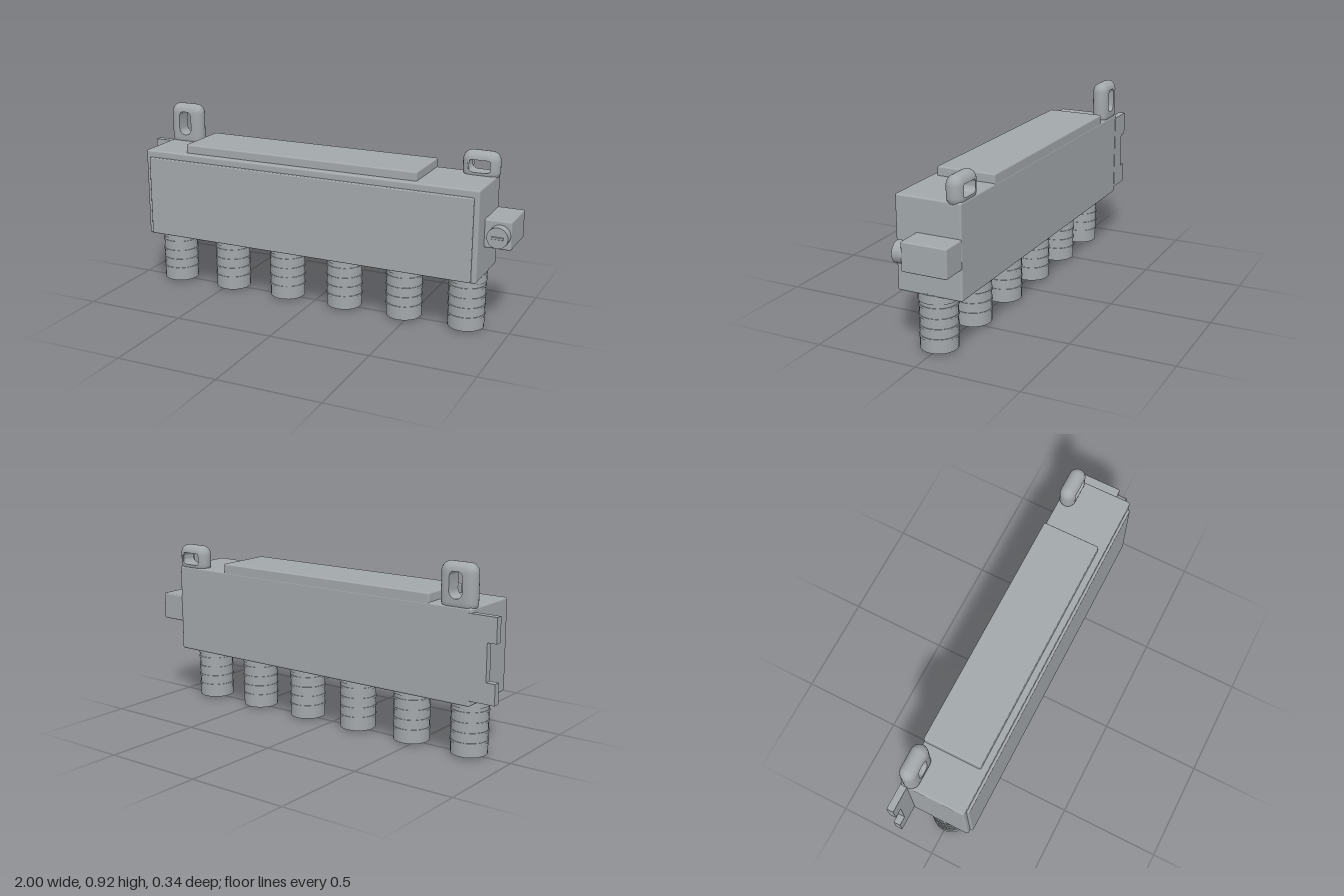
import * as THREE from 'three';
import { toCreasedNormals } from 'three/addons/utils/BufferGeometryUtils.js';
import { RoundedBoxGeometry } from 'three/addons/geometries/RoundedBoxGeometry.js';

const grey = new THREE.MeshStandardMaterial({ color: 0xa3a8ab });
grey.name = 'metalGrey';

function add(parent, name, geometry, x = 0, y = 0, z = 0) {
  const mesh = new THREE.Mesh(geometry, grey);
  mesh.name = name;
  mesh.position.set(x, y, z);
  parent.add(mesh);
  return mesh;
}

// Softly rounded box given by its limits on each axis
function addBox(parent, name, [x0, x1], [y0, y1], [z0, z1], radius) {
  const geometry = new RoundedBoxGeometry(x1 - x0, y1 - y0, z1 - z0, 2, radius);
  return add(parent, name, geometry, (x0 + x1) / 2, (y0 + y1) / 2, (z0 + z1) / 2);
}

// Counter-clockwise rounded rectangle, always with the same number of points
function roundedLoop(w, h, r, z) {
  const points = [], steps = 8;
  [[1, 1], [-1, 1], [-1, -1], [1, -1]].forEach(([sx, sy], corner) => {
    for (let i = 0; i <= steps; i++) {
      const a = (corner + i / steps) * Math.PI / 2;
      points.push([sx * (w / 2 - r) + r * Math.cos(a), sy * (h / 2 - r) + r * Math.sin(a), z]);
    }
  });
  return points;
}

// Mounting lug: half-round outer rim, flat faces and a straight slot
function lugGeometry(w, h, slotW, slotH, slotY) {
  const R = 0.04, rings = [];
  for (let i = 0; i <= 10; i++) {
    const a = Math.PI / 2 - i * Math.PI / 10;
    const inset = R * (1 - Math.cos(a));
    rings.push(roundedLoop(w - 2 * inset, h - 2 * inset, 0.045 - inset, R * Math.sin(a)));
  }
  for (const z of [-R, R]) {
    rings.push(roundedLoop(slotW, slotH, Math.min(slotW, slotH) / 2 - 0.001, z)
      .map(([x, y, d]) => [x, y + slotY, d]));
  }
  const n = rings[0].length, index = [];
  for (let r = 0; r < rings.length; r++) {
    const s = (r + 1) % rings.length;
    for (let i = 0; i < n; i++) {
      const j = (i + 1) % n;
      const a = r * n + i, b = r * n + j, c = s * n + i, d = s * n + j;
      index.push(a, c, b, b, c, d);
    }
  }
  const geometry = new THREE.BufferGeometry();
  geometry.setAttribute('position', new THREE.Float32BufferAttribute(rings.flat(2), 3));
  geometry.setIndex(index);
  return toCreasedNormals(geometry, 0.7);
}

// Ribbed plug hanging below the housing
function createPlug(x) {
  const plug = new THREE.Group();
  plug.name = 'plug';
  plug.position.x = x;
  add(plug, 'plugBarrel', new THREE.CylinderGeometry(0.087, 0.087, 0.28, 24), 0, 0.15);
  add(plug, 'plugCollar', new THREE.CylinderGeometry(0.092, 0.092, 0.042, 24), 0, 0.264);
  for (const y of [0.22, 0.17, 0.122, 0.074]) {
    add(plug, 'plugRib', new THREE.CylinderGeometry(0.091, 0.091, 0.01, 16), 0, y);
  }
  add(plug, 'plugEndDisc', new THREE.CylinderGeometry(0.03, 0.03, 0.006, 20), 0, 0.01);
  add(plug, 'plugPin', new THREE.CylinderGeometry(0.01, 0.01, 0.012, 12), 0, 0.006);
  return plug;
}

export function createModel() {
  const model = new THREE.Group();
  model.name = 'connectorBox';

  // Housing with raised front and top plates
  addBox(model, 'housing', [-0.874, 0.874], [0.28, 0.722], [-0.166, 0.155], 0.01);
  addBox(model, 'frontPanel', [-0.85, 0.85], [0.286, 0.687], [0.14, 0.168], 0.006);
  addBox(model, 'topPlate', [-0.655, 0.566], [0.7, 0.765], [-0.165, 0.126], 0.008);

  // Row of six plugs
  for (let i = 0; i < 6; i++) model.add(createPlug(-0.786 + i * 0.3148));

  // Mounting lugs: tall upright slot and short level slot
  add(model, 'rightLug', lugGeometry(0.18, 0.22, 0.068, 0.125, 0.012), -0.79, 0.805, -0.126);
  add(model, 'leftLug', lugGeometry(0.18, 0.14, 0.12, 0.064, 0.002), 0.795, 0.765, -0.126);

  // Notched flat bracket on the right end
  const outline = [[-1, 0.31], [-0.86, 0.31], [-0.86, 0.702], [-1, 0.702],
    [-1, 0.585], [-0.955, 0.585], [-0.955, 0.408], [-1, 0.408]];
  const bracket = new THREE.Shape(outline.map(([x, y]) => new THREE.Vector2(x, y)));
  add(model, 'bracket', new THREE.ExtrudeGeometry(bracket, { depth: 0.034, bevelEnabled: false }), 0, 0, -0.168);

  // Latch block with a round knob on the left end
  addBox(model, 'latchBlock', [0.868, 1], [0.427, 0.563], [-0.166, 0.054], 0.007);
  const knob = add(model, 'latchKnob', new THREE.CylinderGeometry(0.05, 0.05, 0.06, 28), 0.947, 0.495, 0.071);
  knob.rotation.x = Math.PI / 2;
  addBox(model, 'knobBar', [0.917, 0.977], [0.489, 0.501], [0.09, 0.107], 0.003);

  return model;
}
